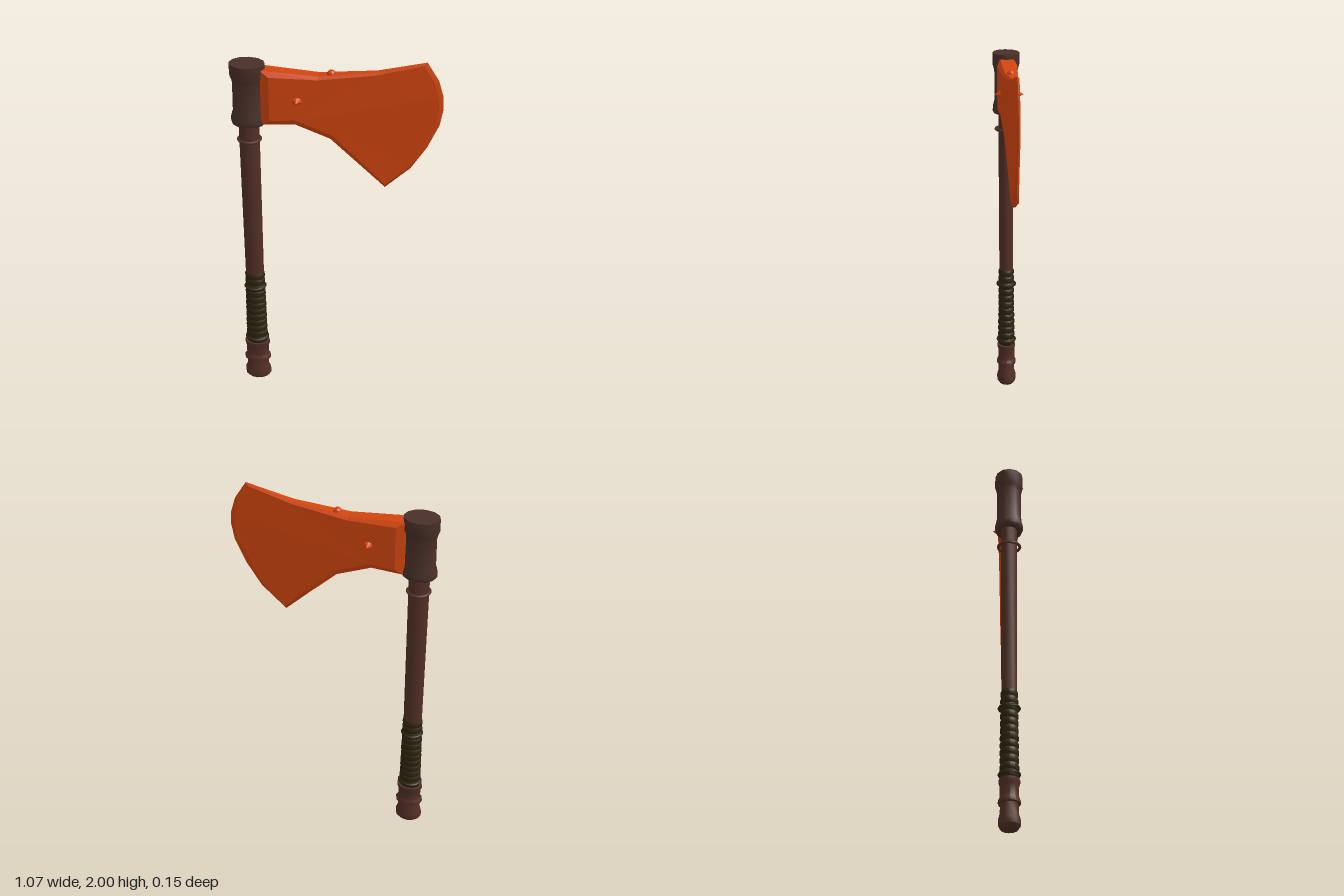
import * as THREE from 'three';
import { toCreasedNormals } from 'three/addons/utils/BufferGeometryUtils.js';

const AXIS = -0.45; // x of the handle

function material(name, color, flatShading = false) {
  const m = new THREE.MeshStandardMaterial({ color, flatShading });
  m.name = name;
  return m;
}

// Turned part with an oval section; profile is [radius, y] from bottom to top
function turned(name, profile, depth, mat, sides = 12) {
  const pts = profile.map(([r, y]) => new THREE.Vector2(r, y));
  const geo = toCreasedNormals(new THREE.LatheGeometry(pts, sides), 0.7);
  geo.scale(1, 1, depth);
  geo.translate(AXIS, 0, 0);
  const mesh = new THREE.Mesh(geo, mat);
  mesh.name = name;
  return mesh;
}

function ring(name, y, rx, rz, tube, mat) {
  const mesh = new THREE.Mesh(new THREE.TorusGeometry(1, tube / rx, 6, 16), mat);
  mesh.rotation.x = Math.PI / 2;
  mesh.scale.set(rx, rz, rx);
  mesh.position.set(AXIS, y, 0);
  mesh.name = name;
  return mesh;
}

// Tapered blade: each side is a flat face inside a bevelled rim
function bladeGeometry() {
  // [outer x, outer y, inner x, inner y], clockwise from the top of the root
  const rim = [
    [-0.38, 1.927, -0.335, 1.9], [-0.09, 1.908, -0.09, 1.893], [0.2, 1.938, 0.2, 1.928],
    [0.445, 2.0, 0.43, 1.985], [0.505, 1.905, 0.483, 1.9], [0.53, 1.82, 0.507, 1.815],
    [0.533, 1.75, 0.51, 1.75], [0.518, 1.665, 0.497, 1.67], [0.46, 1.535, 0.442, 1.547],
    [0.38, 1.41, 0.367, 1.425], [0.25, 1.29, 0.252, 1.312],
    [0.12, 1.422, 0.13, 1.44], [-0.03, 1.565, -0.02, 1.59], [-0.21, 1.64, -0.205, 1.668],
    [-0.38, 1.632, -0.335, 1.662],
  ];
  const n = rim.length;
  const taper = (x, root, tip) => THREE.MathUtils.clamp(THREE.MathUtils.mapLinear(x, -0.335, 0.44, root, tip), tip, root);
  const outer = rim.map(([x, y], i) => [x, y, i >= 3 && i <= 10 ? 0.001 : taper(x, 0.037, 0.005)]);
  const inner = rim.map(([, , x, y]) => [x, y, taper(x, 0.054, 0.009)]);
  const pos = [];
  const back = ([x, y, z]) => [x, y, -z];
  const tri = (a, b, c) => pos.push(...a, ...b, ...c);
  const both = (a, b, c) => { tri(a, b, c); tri(back(a), back(c), back(b)); };
  const flat = inner.map(([x, y]) => new THREE.Vector2(x, y));
  for (const [a, b, c] of THREE.ShapeUtils.triangulateShape(flat, [])) {
    const ccw = (flat[b].x - flat[a].x) * (flat[c].y - flat[a].y) - (flat[b].y - flat[a].y) * (flat[c].x - flat[a].x) > 0;
    both(inner[a], inner[ccw ? b : c], inner[ccw ? c : b]);
  }
  for (let i = 0; i < n; i++) {
    const j = (i + 1) % n;
    // Bevel on both sides
    both(outer[i], inner[j], outer[j]);
    both(outer[i], inner[i], inner[j]);
    // Narrow outside edge
    tri(outer[i], outer[j], back(outer[j]));
    tri(outer[i], back(outer[j]), back(outer[i]));
  }
  const geo = new THREE.BufferGeometry();
  geo.setAttribute('position', new THREE.Float32BufferAttribute(pos, 3));
  geo.computeVertexNormals();
  return geo;
}

export function createModel() {
  const axe = new THREE.Group();
  axe.name = 'axe';
  const wood = material('brown wood', 0x522f26);
  const iron = material('dark brown socket', 0x4a3028);
  const wrap = material('olive leather', 0x2e2410);
  const orange = material('orange metal', 0xd2450f, true);

  // Shaft and pommel
  axe.add(turned('shaft', [[0.05, 0.24], [0.05, 0.7], [0.054, 1.64]], 0.78, wood));
  axe.add(turned('pommel', [
    [0, 0.005], [0.058, 0.005], [0.072, 0.02], [0.073, 0.052], [0.062, 0.08], [0.06, 0.125],
    [0.074, 0.128], [0.074, 0.145], [0.063, 0.16], [0.063, 0.215], [0.07, 0.23], [0.07, 0.248], [0, 0.25],
  ], 0.74, wood));

  // Wrapped grip with rounded coils
  const coils = 12;
  const grip = [[0, 0.25]];
  for (let i = 0; i < coils; i++) {
    const y = 0.25 + (0.46 * i) / coils;
    const h = 0.46 / coils;
    const r = 0.06 - 0.006 * (i / coils);
    grip.push([r - 0.005, y], [r, y + h * 0.25], [r, y + h * 0.75]);
  }
  grip.push([0.049, 0.71], [0, 0.71]);
  axe.add(turned('grip', grip, 0.8, wrap));
  axe.add(ring('lowerGripRing', 0.275, 0.059, 0.05, 0.008, wrap));
  axe.add(ring('upperGripRing', 0.618, 0.053, 0.05, 0.008, wrap));
  axe.add(ring('collarRing', 1.528, 0.057, 0.056, 0.008, wood));

  // Socket holding the blade
  axe.add(turned('socket', [
    [0, 1.62], [0.085, 1.62], [0.091, 1.632], [0.09, 1.655], [0.08, 1.69], [0.078, 1.84],
    [0.083, 1.865], [0.091, 1.885], [0.091, 1.95], [0, 1.95],
  ], 0.8, iron));

  // Blade
  const blade = new THREE.Mesh(bladeGeometry(), orange);
  blade.name = 'blade';
  axe.add(blade);

  // Pointed side studs and the round top stud
  for (const side of [1, -1]) {
    const stud = new THREE.Mesh(new THREE.ConeGeometry(0.029, 0.036, 8), orange);
    stud.rotation.x = (side * Math.PI) / 2;
    stud.scale.z = 0.8;
    stud.position.set(-0.196, 1.775, side * 0.059);
    stud.name = side > 0 ? 'frontStud' : 'backStud';
    axe.add(stud);
  }
  const topStud = new THREE.Mesh(new THREE.SphereGeometry(0.023, 10, 6), orange);
  topStud.position.set(-0.027, 1.913, 0);
  topStud.name = 'topStud';
  axe.add(topStud);
  return axe;
}
